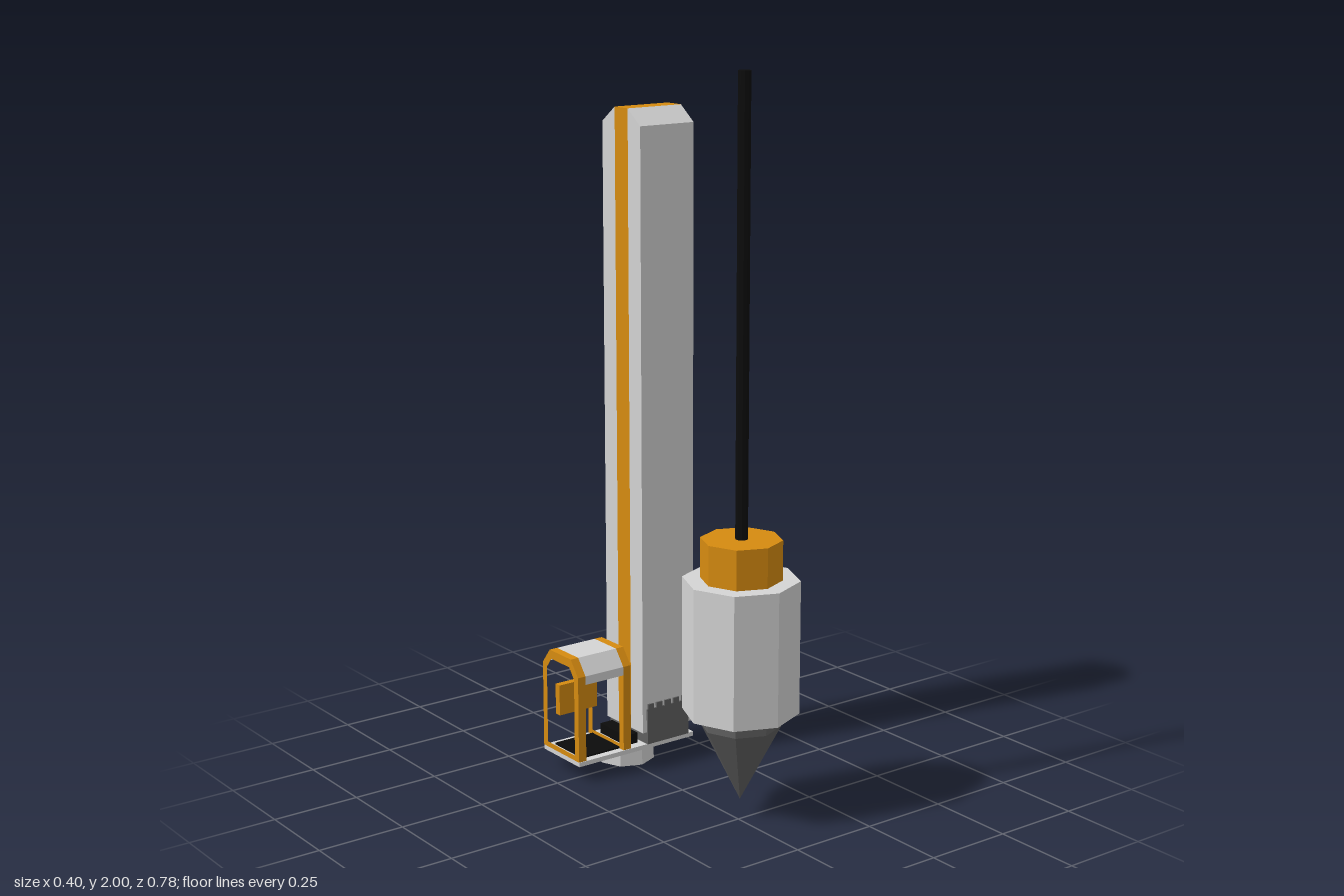
import * as THREE from 'three';

const mat = (name, color) => {
  const m = new THREE.MeshStandardMaterial({ color });
  m.name = name;
  return m;
};

export function createModel() {
  const root = new THREE.Group();
  const grey = mat('light grey', 0xd4d4d4);
  const orange = mat('orange', 0xd68b10);
  const dark = mat('dark grey', 0x606060);
  const black = mat('black', 0x0c0c0c);

  const add = (name, geo, material, parent = root) => {
    const m = new THREE.Mesh(geo, material);
    m.name = name;
    parent.add(m);
    return m;
  };
  const group = (name) => {
    const g = new THREE.Group();
    g.name = name;
    root.add(g);
    return g;
  };
  // Box given by its minimum and maximum corners
  const box = (name, a, b, material, parent) =>
    add(name, new THREE.BoxGeometry(b[0] - a[0], b[1] - a[1], b[2] - a[2]), material, parent)
      .position.set((a[0] + b[0]) / 2, (a[1] + b[1]) / 2, (a[2] + b[2]) / 2);
  // Faceted upright cylinder between two heights
  const prism = (name, rTop, rBottom, y0, y1, sides, x, z, material, parent) => {
    const geo = new THREE.CylinderGeometry(rTop, rBottom, y1 - y0, sides).toNonIndexed();
    geo.computeVertexNormals();
    add(name, geo, material, parent).position.set(x, (y0 + y1) / 2, z);
  };
  // Outline in [z, y], extruded along x
  const toPoints = (pts) => pts.map(([z, y]) => new THREE.Vector2(-z, y));
  const slab = (name, pts, x0, x1, material, parent, hole) => {
    const shape = new THREE.Shape(toPoints(pts));
    if (hole) shape.holes.push(new THREE.Path(toPoints(hole)));
    const geo = new THREE.ExtrudeGeometry(shape, { depth: x1 - x0, bevelEnabled: false });
    geo.rotateY(Math.PI / 2);
    add(name, geo, material, parent).position.x = x0;
  };

  // Hanging weight on its cable
  const bob = group('hangingWeight');
  const bx = 0.021, bz = 0.23;
  prism('cable', 0.0175, 0.0175, 0.77, 2, 10, bx, bz, black, bob);
  prism('weightCollar', 0.11, 0.11, 0.66, 0.78, 8, bx, bz, orange, bob);
  prism('weightBody', 0.158, 0.158, 0.3, 0.67, 8, bx, bz, grey, bob);
  prism('tipShoulder', 0.11, 0.11, 0.262, 0.302, 8, bx, bz, dark, bob);
  prism('tip', 0.11, 0, 0.047, 0.262, 8, bx, bz, dark, bob);

  // Turntable and base plate
  prism('turntable', 0.083, 0.083, 0, 0.048, 8, 0.02, -0.3, grey);
  box('basePlate', [-0.2, 0.047, -0.39], [0.2, 0.06, -0.213], grey);

  // Mast: grey front and back with an orange core showing at sides and top
  const mast = group('mast');
  const y0 = 0.095, yShoulder = 1.82, yTop = 1.863;
  slab('mastFront', [[-0.215, y0], [-0.215, yShoulder], [-0.272, yTop], [-0.272, y0]], 0.021, 0.2, grey, mast);
  slab('mastCore', [[-0.272, y0], [-0.272, yTop], [-0.332, yTop], [-0.332, y0]], 0.021, 0.2, orange, mast);
  slab('mastBack', [[-0.332, y0], [-0.332, yTop], [-0.39, yShoulder], [-0.39, y0]], 0.021, 0.2, grey, mast);

  // Dark mast foot with clamp plates and small teeth on both faces
  const foot = group('mastFoot');
  box('footBlock', [0.035, 0.06, -0.388], [0.18, y0, -0.216], dark, foot);
  for (const z of [-0.213, -0.392]) {
    box('clampPlate', [0.035, 0.06, z - 0.003], [0.18, 0.165, z + 0.003], dark, foot);
    for (let i = 0; i < 5; i++) {
      const x = 0.037 + i * 0.03;
      box('clampTooth', [x, 0.165, z - 0.003], [x + 0.02, 0.18, z + 0.003], dark, foot);
    }
  }

  // Winch between mast and cabin
  box('winch', [-0.021, 0.06, -0.365], [0.021, 0.09, -0.24], black);

  // Cabin: two orange window frames joined by grey panels
  const cabin = group('cabin');
  const outline = [[-0.215, 0.06], [-0.215, 0.31], [-0.25, 0.355], [-0.355, 0.355], [-0.39, 0.31], [-0.39, 0.06]];
  const hole = [[-0.235, 0.075], [-0.235, 0.3], [-0.258, 0.33], [-0.347, 0.33], [-0.37, 0.3], [-0.37, 0.075]];
  const xl = -0.2, xr = -0.021, t = 0.025;
  slab('windowFrame', outline, xl, xl + t, orange, cabin, hole);
  slab('windowFrame', outline, xr - t, xr, orange, cabin, hole);
  slab('roof', [[-0.215, 0.285], [-0.215, 0.31], [-0.25, 0.355], [-0.355, 0.355], [-0.39, 0.31],
    [-0.384, 0.31], [-0.352, 0.349], [-0.253, 0.349], [-0.221, 0.308], [-0.221, 0.285]], xl + t, xr - t, grey, cabin);

  // Back panel, facing outwards only
  const back = add('backPanel', new THREE.PlaneGeometry(xr - xl - 2 * t, 0.25), grey, cabin);
  back.rotation.y = Math.PI;
  back.position.set((xl + xr) / 2, 0.185, -0.39);

  // Seat rest and floor
  box('seatBack', [xl + t, 0.155, -0.365], [xr - t, 0.245, -0.345], orange, cabin);
  box('cabinFloor', [xl + t, 0.06, -0.37], [xr - t, 0.065, -0.235], black, cabin);

  return root;
}
